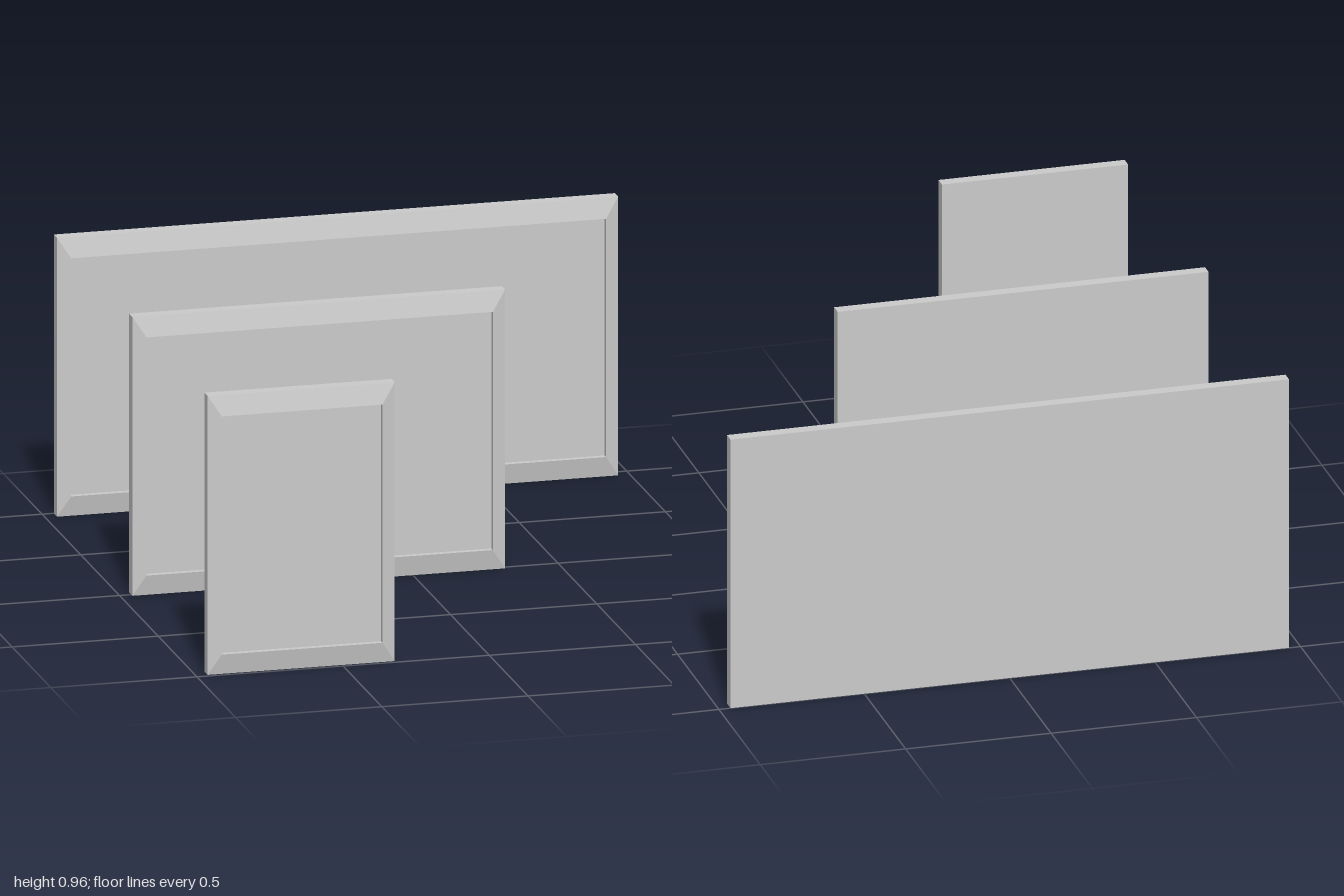
import * as THREE from 'three';

const HEIGHT = 0.96, DEPTH = 0.055, EDGE = 0.042, RECESS = 0.035;
const BORDER_X = 0.045, BORDER_Y = 0.07;

// Skin rectangular cross-sections [insetX, insetY, z] into a faceted surface
function skinRectangles(width, height, sections, capStart, capEnd) {
  const pos = [];
  const rings = sections.map(([ix, iy, z]) => {
    const x = width / 2 - ix;
    return [[-x, iy, z], [x, iy, z], [x, height - iy, z], [-x, height - iy, z]];
  });
  const quad = (a, b, c, d) => pos.push(...a, ...b, ...c, ...a, ...c, ...d);
  for (let r = 0; r < rings.length - 1; r++) {
    for (let i = 0; i < 4; i++) {
      const j = (i + 1) % 4;
      quad(rings[r][i], rings[r][j], rings[r + 1][j], rings[r + 1][i]);
    }
  }
  if (capStart) quad(...[...rings[0]].reverse());
  if (capEnd) quad(...rings[rings.length - 1]);
  const geometry = new THREE.BufferGeometry();
  geometry.setAttribute('position', new THREE.Float32BufferAttribute(pos, 3));
  geometry.computeVertexNormals();
  return geometry;
}

function createPanel(name, width, z) {
  const material = new THREE.MeshStandardMaterial({ color: 0xcccccc, flatShading: true });
  const panel = new THREE.Group();
  panel.name = name;

  // Back, outer edges, mitred sloping border and inner lip
  const frame = new THREE.Mesh(skinRectangles(width, HEIGHT, [
    [0, 0, 0],
    [0, 0, EDGE],
    [BORDER_X, BORDER_Y, DEPTH],
    [BORDER_X, BORDER_Y, RECESS],
  ], true, false), material);
  frame.name = 'frame';

  // Sunken flat field inside the border
  const field = new THREE.Mesh(
    new THREE.PlaneGeometry(width - 2 * BORDER_X, HEIGHT - 2 * BORDER_Y), material);
  field.name = 'recessedField';
  field.position.set(0, HEIGHT / 2, RECESS);

  panel.add(frame, field);
  panel.position.set(-0.96 + width / 2, 0, z); // right edges aligned
  return panel;
}

export function createModel() {
  const model = new THREE.Group();
  model.name = 'framedPanels';
  model.add(
    createPanel('smallPanel', 0.64, 0.945),
    createPanel('mediumPanel', 1.275, -0.027),
    createPanel('largePanel', 1.92, -1),
  );
  return model;
}
